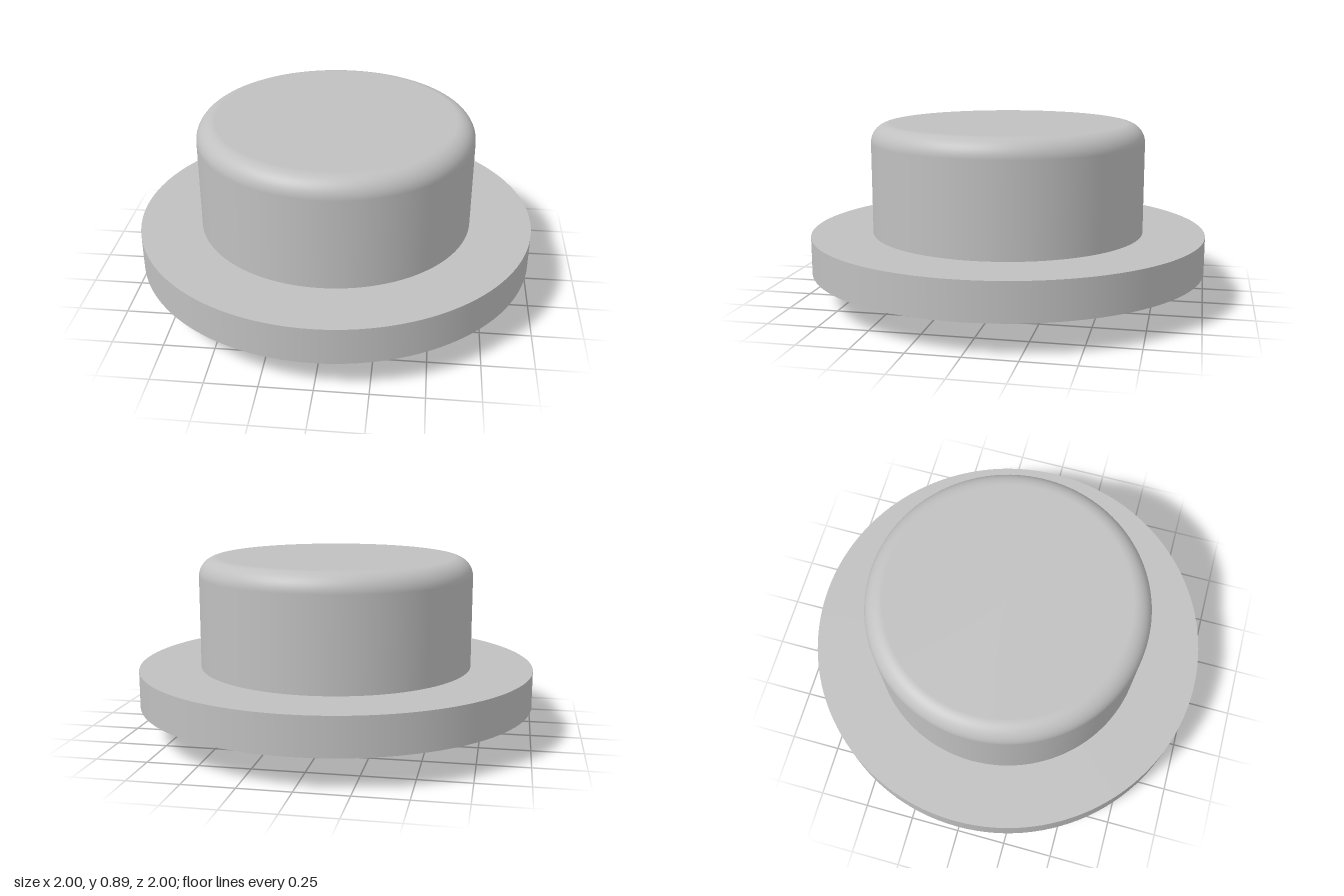
import * as THREE from 'three';

export function createModel() {
  const model = new THREE.Group();
  const grey = new THREE.MeshStandardMaterial({ color: 0xc0c0c0 });
  grey.name = 'plain grey';
  const SEGMENTS = 128;

  function add(name, geometry, y = 0) {
    const mesh = new THREE.Mesh(geometry, grey);
    mesh.name = name;
    mesh.position.y = y;
    model.add(mesh);
  }

  // Plain disc standing between two heights
  function disc(name, radius, bottom, top) {
    add(name, new THREE.CylinderGeometry(radius, radius, top - bottom, SEGMENTS), (bottom + top) / 2);
  }

  disc('stem', 0.27, 0, 0.155);
  disc('flange', 1, 0.155, 0.34);

  // Round cap with a filleted upper edge, seated on the flange
  const radius = 0.69, top = 0.893, fillet = 0.095;
  const profile = [new THREE.Vector2(radius, 0.34)];
  for (let i = 0; i <= 12; i++) {
    const a = (i / 12) * Math.PI / 2;
    profile.push(new THREE.Vector2(
      radius - fillet + fillet * Math.cos(a),
      top - fillet + fillet * Math.sin(a)
    ));
  }
  profile.push(new THREE.Vector2(0, top));
  add('cap', new THREE.LatheGeometry(profile, SEGMENTS));

  return model;
}
